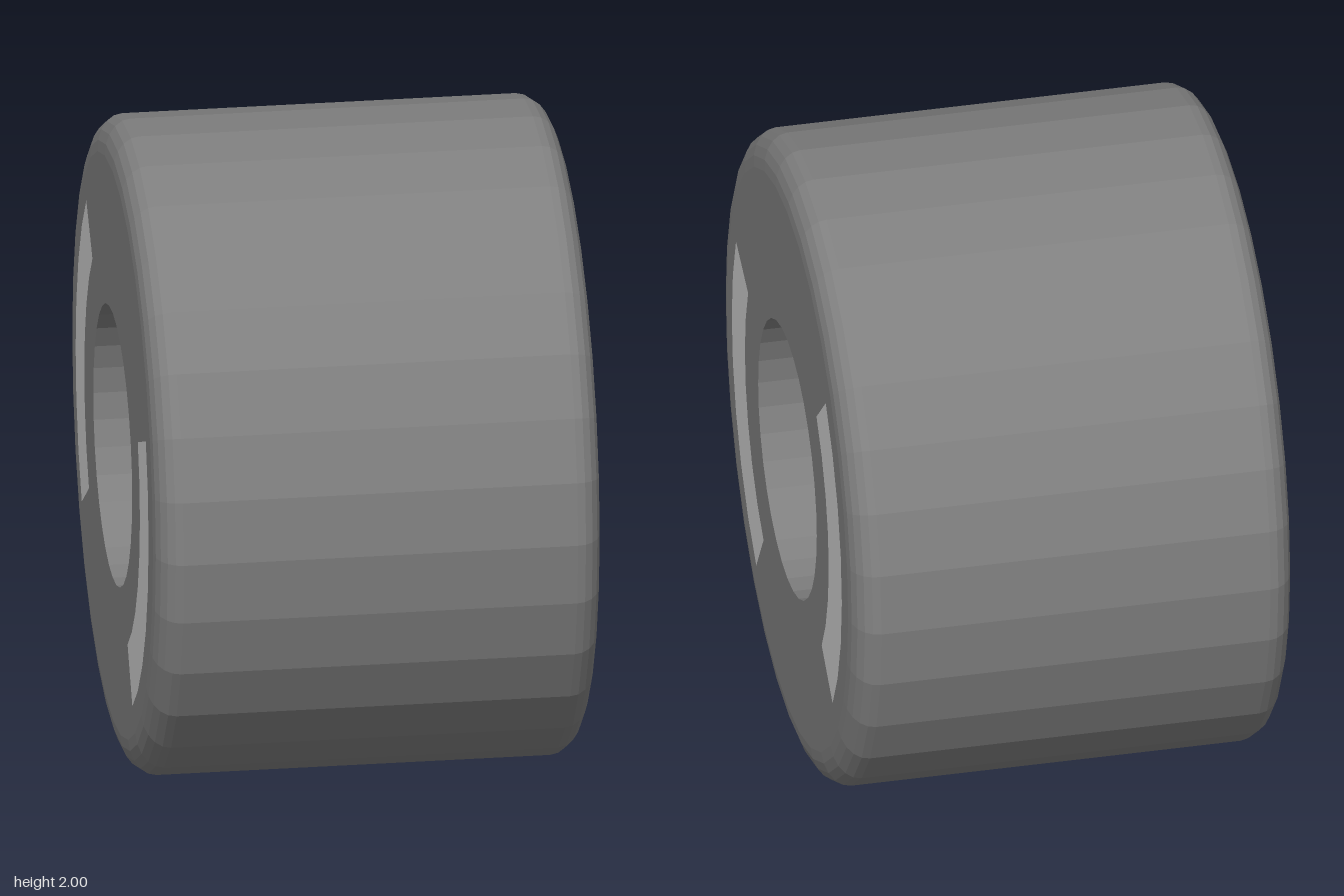
import * as THREE from 'three';

const SIDES = 32;
const HALF_WIDTH = 0.68;
const HOLE_RADIUS = 0.43;
const deg = THREE.MathUtils.degToRad;

export function createModel() {
  const group = new THREE.Group();
  const dark = new THREE.MeshStandardMaterial({ color: 0x7f7f7f, flatShading: true });
  const light = new THREE.MeshStandardMaterial({ color: 0xcccccc });

  const add = (name, geometry, material) => {
    const mesh = new THREE.Mesh(geometry, material);
    mesh.name = name;
    group.add(mesh);
    return mesh;
  };

  // Wheel body: closed ring profile with rounded shoulders, open through the middle
  const bevelX = 0.08, bevelR = 0.11, steps = 5;
  const profile = [new THREE.Vector2(HOLE_RADIUS, -HALF_WIDTH)];
  for (const side of [-1, 1]) {
    for (let i = 0; i <= steps; i++) {
      const a = (side < 0 ? i : steps - i) / steps * Math.PI / 2;
      profile.push(new THREE.Vector2(
        1 - bevelR + bevelR * Math.sin(a),
        side * (HALF_WIDTH - bevelX + bevelX * Math.cos(a))
      ));
    }
  }
  profile.push(new THREE.Vector2(HOLE_RADIUS, HALF_WIDTH), profile[0].clone());
  const body = add('wheelBody', new THREE.LatheGeometry(profile, SIDES), dark);
  body.rotation.z = Math.PI / 2;
  body.position.y = 1;

  // Hub core set back inside the hole on both sides
  const hub = add('hubCore', new THREE.CylinderGeometry(0.432, 0.432, 0.54, SIDES), light);
  hub.rotation.z = Math.PI / 2;
  hub.position.y = 1;

  // Two curved stripes on each face; start angles run from +z towards +y
  const sweep = 78.75;
  for (const side of [1, -1]) {
    for (const start of [-56.25, 135]) {
      const local = side > 0 ? 180 - start - sweep : start;
      const stripe = add(
        side > 0 ? 'leftFaceStripe' : 'rightFaceStripe',
        new THREE.RingGeometry(0.615, 0.807, 7, 1, deg(local), deg(sweep)),
        light
      );
      stripe.rotation.y = side * Math.PI / 2;
      stripe.position.set(side * (HALF_WIDTH + 0.002), 1, 0);
    }
  }

  return group;
}
